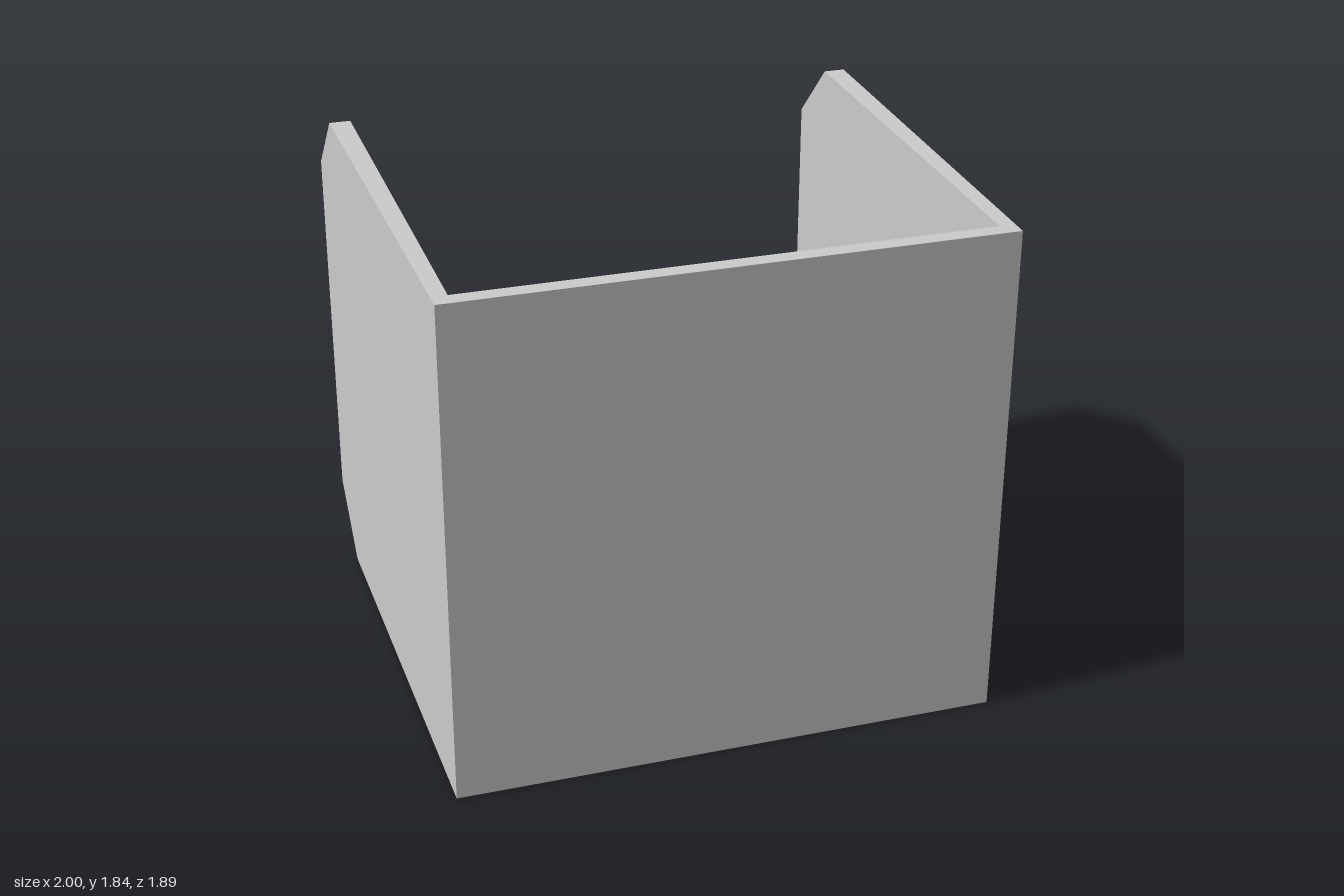
import * as THREE from 'three';

const HEIGHT = 1.835;
const HALF_DEPTH = 0.945;
const CHAMFER = 0.235;
const INNER_X = 0.92;
const OUTER_FRONT_X = 0.975;
const OUTER_BACK_X = 1.0;
const FRONT_THICKNESS = 0.06;

// Side wall: chamfered rear corners, thickening slightly towards the back
function sideWallGeometry() {
  const profile = new THREE.Shape([
    [-HALF_DEPTH, 0],
    [HALF_DEPTH - CHAMFER, 0],
    [HALF_DEPTH, CHAMFER],
    [HALF_DEPTH, HEIGHT - CHAMFER],
    [HALF_DEPTH - CHAMFER, HEIGHT],
    [-HALF_DEPTH, HEIGHT],
  ].map(([u, v]) => new THREE.Vector2(u, v)));

  const geometry = new THREE.ExtrudeGeometry(profile, { depth: 1, bevelEnabled: false });
  geometry.rotateY(Math.PI / 2); // profile u becomes -z, depth becomes +x

  const pos = geometry.attributes.position;
  for (let i = 0; i < pos.count; i++) {
    const back = (HALF_DEPTH - pos.getZ(i)) / (2 * HALF_DEPTH);
    const outer = THREE.MathUtils.lerp(OUTER_FRONT_X, OUTER_BACK_X, back);
    pos.setX(i, pos.getX(i) > 0.5 ? outer : INNER_X);
  }
  geometry.computeVertexNormals();
  return geometry;
}

export function createModel() {
  const group = new THREE.Group();
  group.name = 'bracket';
  const material = new THREE.MeshStandardMaterial({ color: 0xcccccc, flatShading: true });

  // Front panel between the two side walls
  const front = new THREE.Mesh(
    new THREE.BoxGeometry(2 * INNER_X, HEIGHT, FRONT_THICKNESS), material);
  front.name = 'frontPanel';
  front.position.set(0, HEIGHT / 2, HALF_DEPTH - FRONT_THICKNESS / 2);
  group.add(front);

  // Side walls; the right one is the left one turned over
  const wall = sideWallGeometry();
  const left = new THREE.Mesh(wall, material);
  left.name = 'leftWall';
  const right = new THREE.Mesh(wall, material);
  right.name = 'rightWall';
  right.rotation.z = Math.PI;
  right.position.y = HEIGHT;
  group.add(left, right);

  return group;
}
